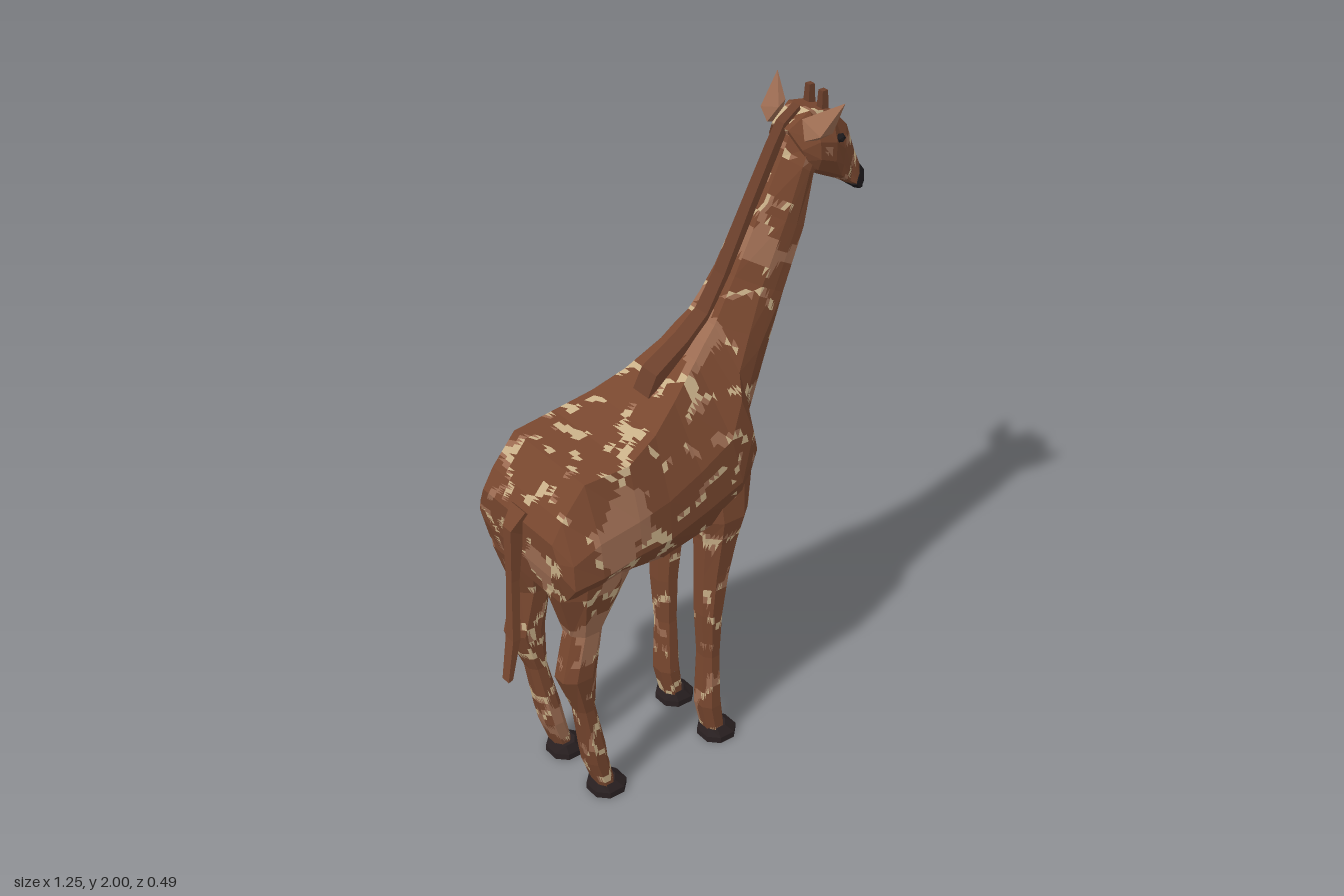
import * as THREE from 'three';
import { ConvexGeometry } from 'three/addons/geometries/ConvexGeometry.js';

const V = (x, y, z) => new THREE.Vector3(x, y, z);
const material = (color) => new THREE.MeshStandardMaterial({ color, flatShading: true });
const coatMaterials = [material(0x78472f), material(0x9c6c52), material(0xc9b088)];
const maneMaterial = material(0x6b3f2b);
const hoofMaterial = material(0x2a2122);
const noseMaterial = material(0x1c191b);

// Triangles of a closed tube through the given rings, capped at both ends
function loft(rings) {
  const tris = [], n = rings[0].length;
  for (let i = 0; i < rings.length - 1; i++) {
    const a = rings[i], b = rings[i + 1];
    for (let j = 0; j < n; j++) {
      const k = (j + 1) % n;
      tris.push([a[j], a[k], b[k]], [a[j], b[k], b[j]]);
    }
  }
  const first = rings[0], last = rings[rings.length - 1];
  for (let j = 1; j < n - 1; j++) {
    tris.push([first[0], first[j + 1], first[j]], [last[0], last[j], last[j + 1]]);
  }
  // Signed volume tells whether the winding has to be turned outwards
  const o = first[0], t = new THREE.Vector3();
  const volume = tris.reduce((sum, [a, b, c]) =>
    sum + a.clone().sub(o).dot(t.crossVectors(b.clone().sub(o), c.clone().sub(o))), 0);
  return volume < 0 ? tris.map(([a, b, c]) => [a, c, b]) : tris;
}

function meshFrom(tris, mat, name) {
  const geometry = new THREE.BufferGeometry().setFromPoints(tris.flat());
  geometry.computeVertexNormals();
  const mesh = new THREE.Mesh(geometry, mat);
  mesh.name = name;
  return mesh;
}

// Patch pattern: pale wedges where three cells of a jittered grid meet
const hash = (x, y, z) => {
  const s = Math.sin(x * 127.1 + y * 311.7 + z * 74.7) * 43758.5453;
  return s - Math.floor(s);
};
function patchShade(p) {
  const size = 0.115, near = [];
  const c = [p.x, p.y, p.z].map((v) => Math.floor(v / size));
  for (let i = -1; i < 2; i++) for (let j = -1; j < 2; j++) for (let k = -1; k < 2; k++) {
    const [x, y, z] = [c[0] + i, c[1] + j, c[2] + k];
    const seed = V(x + hash(x, y, z), y + hash(y, z, x + 9), z + hash(z, x, y + 5));
    near.push([seed.multiplyScalar(size).distanceTo(p), hash(x + 3, y, z)]);
  }
  near.sort((a, b) => a[0] - b[0]);
  if (near[2][0] - near[0][0] < 0.016) return near[0][1] < 0.55 ? 2 : 1;
  return near[0][1] > 0.9 ? 1 : 0;
}

// Cuts each facet into small flat triangles and sorts them by coat shade
function coat(tris, name) {
  const bins = [[], [], []];
  for (const [a, b, c] of tris) {
    const n = Math.max(1, Math.ceil(Math.max(a.distanceTo(b), b.distanceTo(c), c.distanceTo(a)) / 0.03));
    const at = (i, j) => a.clone().addScaledVector(b.clone().sub(a), i / n).addScaledVector(c.clone().sub(a), j / n);
    const add = (...t) => bins[patchShade(V(0, 0, 0).add(t[0]).add(t[1]).add(t[2]).divideScalar(3))].push(t);
    for (let i = 0; i < n; i++) for (let j = 0; j < n - i; j++) {
      add(at(i, j), at(i + 1, j), at(i, j + 1));
      if (i + j < n - 1) add(at(i + 1, j), at(i + 1, j + 1), at(i, j + 1));
    }
  }
  const group = new THREE.Group();
  group.name = name;
  ['Patches', 'Shading', 'Markings'].forEach((suffix, i) => {
    if (bins[i].length) group.add(meshFrom(bins[i], coatMaterials[i], name + suffix));
  });
  return group;
}

// Trunk, neck and head section: upper point, lower point, half widths on top, at the side, below
function section([x0, y0, x1, y1, top, side, low]) {
  const half = [[0, top], [0.42, side * 0.96], [0.7, side], [0.9, (side + low) / 2 + 0.01], [1, low]];
  const right = half.map(([t, w]) => V(x0 + (x1 - x0) * t, y0 + (y1 - y0) * t, w));
  return [...right, ...right.map((p) => V(p.x, p.y, -p.z)).reverse()];
}

// Octagonal leg section: height, x range, z range
function legRing([y, x0, x1, z0, z1], s) {
  const dx = (x1 - x0) * 0.27, dz = (z1 - z0) * 0.27;
  return [[x0 + dx, z0], [x1 - dx, z0], [x1, z0 + dz], [x1, z1 - dz],
    [x1 - dx, z1], [x0 + dx, z1], [x0, z1 - dz], [x0, z0 + dz]].map(([x, z]) => V(x, y, z * s));
}

// Four-sided section in the side plane: rear and front points, half width
const slab = ([x0, y0, x1, y1, w]) => [V(x0, y0, w), V(x1, y1, w), V(x1, y1, -w), V(x0, y0, -w)];

export function createModel() {
  const model = new THREE.Group();
  model.name = 'giraffe';

  // Trunk and neck, from rump to throat
  const trunk = [
    [-0.56, 1.0, -0.555, 0.88, 0.17, 0.2, 0.15],
    [-0.525, 1.06, -0.535, 0.79, 0.17, 0.235, 0.13],
    [-0.45, 1.15, -0.44, 0.77, 0.17, 0.245, 0.12],
    [-0.31, 1.16, -0.31, 0.79, 0.18, 0.237, 0.12],
    [-0.2, 1.2, -0.2, 0.77, 0.15, 0.225, 0.12],
    [-0.11, 1.255, -0.035, 0.785, 0.115, 0.207, 0.11],
    [-0.01, 1.335, 0.11, 0.8, 0.08, 0.192, 0.1],
    [0.03, 1.375, 0.17, 0.98, 0.07, 0.17, 0.115],
    [0.07, 1.41, 0.145, 1.11, 0.06, 0.14, 0.105],
    [0.105, 1.46, 0.22, 1.26, 0.052, 0.115, 0.08],
    [0.15, 1.53, 0.3, 1.45, 0.045, 0.092, 0.07],
    [0.24, 1.7, 0.37, 1.63, 0.04, 0.088, 0.065],
    [0.315, 1.84, 0.4, 1.78, 0.035, 0.085, 0.055],
    [0.35, 1.91, 0.42, 1.79, 0.03, 0.075, 0.05],
  ];
  model.add(coat(loft(trunk.map(section)), 'trunkAndNeck'));

  // Head
  const head = [
    [0.335, 1.91, 0.385, 1.79, 0.035, 0.075, 0.045],
    [0.4, 1.955, 0.405, 1.775, 0.045, 0.098, 0.05],
    [0.475, 1.94, 0.46, 1.745, 0.05, 0.09, 0.04],
    [0.535, 1.88, 0.51, 1.72, 0.045, 0.062, 0.035],
    [0.575, 1.79, 0.55, 1.695, 0.035, 0.05, 0.035],
    [0.6, 1.735, 0.572, 1.685, 0.035, 0.052, 0.038],
  ];
  model.add(coat(loft(head.map(section)), 'head'));

  // Dark nose
  const nose = [
    [0.598, 1.74, 0.57, 1.683, 0.036, 0.055, 0.04],
    [0.617, 1.715, 0.582, 1.67, 0.035, 0.055, 0.038],
    [0.622, 1.69, 0.605, 1.667, 0.025, 0.04, 0.028],
  ];
  model.add(meshFrom(loft(nose.map(section)), noseMaterial, 'nose'));

  // Mane along the back of the neck
  const mane = [
    [-0.14, 1.24, -0.11, 1.23, 0.035], [-0.11, 1.3, -0.08, 1.25, 0.034],
    [0, 1.37, 0.03, 1.33, 0.03], [0.07, 1.43, 0.11, 1.4, 0.027],
    [0.13, 1.53, 0.18, 1.51, 0.024], [0.22, 1.71, 0.27, 1.69, 0.02],
    [0.3, 1.865, 0.35, 1.84, 0.018], [0.335, 1.925, 0.38, 1.89, 0.017],
    [0.39, 1.962, 0.4, 1.92, 0.015],
  ];
  model.add(meshFrom(loft(mane.map(slab)), maneMaterial, 'mane'));

  // Tail
  const tail = [
    [-0.555, 1.03, -0.52, 1.0, 0.035], [-0.595, 0.975, -0.555, 0.95, 0.02],
    [-0.597, 0.8, -0.57, 0.8, 0.014], [-0.605, 0.6, -0.58, 0.6, 0.019],
    [-0.625, 0.46, -0.61, 0.465, 0.016],
  ];
  model.add(meshFrom(loft(tail.map(slab)), coatMaterials[0], 'tail'));

  const frontLeg = [
    [1.0, -0.05, 0.15, 0.06, 0.17], [0.84, -0.03, 0.125, 0.055, 0.19],
    [0.76, -0.02, 0.1, 0.05, 0.178], [0.64, -0.02, 0.075, 0.058, 0.165],
    [0.49, -0.02, 0.055, 0.064, 0.155], [0.33, -0.01, 0.05, 0.068, 0.145],
    [0.14, -0.015, 0.055, 0.06, 0.15], [0.03, 0.01, 0.07, 0.065, 0.145],
  ];
  const hindLeg = [
    [0.95, -0.545, -0.28, 0.08, 0.225], [0.8, -0.54, -0.31, 0.06, 0.208],
    [0.65, -0.495, -0.39, 0.08, 0.178], [0.5, -0.53, -0.415, 0.085, 0.178],
    [0.36, -0.475, -0.415, 0.09, 0.158], [0.2, -0.45, -0.38, 0.075, 0.158],
    [0.14, -0.438, -0.37, 0.07, 0.155], [0.03, -0.4, -0.345, 0.075, 0.15],
  ];
  const hoof = [[0, 0, 0.11, 0.052, 0.163], [0.02, 0, 0.11, 0.052, 0.163], [0.05, 0.01, 0.075, 0.063, 0.148]];

  for (const s of [1, -1]) {
    const side = s > 0 ? 'Left' : 'Right';

    // Legs and hooves
    model.add(coat(loft(frontLeg.map((r) => legRing(r, s))), 'frontLeg' + side));
    model.add(coat(loft(hindLeg.map((r) => legRing(r, s))), 'hindLeg' + side));
    for (const [name, dx] of [['frontHoof', 0], ['hindHoof', -0.415]]) {
      const rings = hoof.map(([y, x0, x1, z0, z1]) => legRing([y, x0 + dx, x1 + dx, z0, z1], s));
      model.add(meshFrom(loft(rings), hoofMaterial, name + side));
    }

    // Leaf-shaped ear
    const ear = new THREE.Mesh(new ConvexGeometry([
      V(0.37, 1.94, 0.05 * s), V(0.4, 1.88, 0.08 * s), V(0.355, 1.89, 0.08 * s),
      V(0.44, 2.0, 0.143 * s), V(0.37, 1.915, 0.128 * s), V(0.41, 1.945, 0.07 * s), V(0.42, 1.91, 0.12 * s),
    ]), coatMaterials[1]);
    ear.name = 'ear' + side;

    // Short horn
    const horn = new THREE.Mesh(new THREE.CylinderGeometry(0.013, 0.02, 0.1, 4, 1).rotateY(Math.PI / 4), maneMaterial);
    horn.name = 'horn' + side;
    horn.position.set(0.46, 1.945, 0.028 * s);

    // Eye
    const eye = new THREE.Mesh(new THREE.IcosahedronGeometry(0.014, 0), noseMaterial);
    eye.name = 'eye' + side;
    eye.position.set(0.485, 1.865, 0.08 * s);
    model.add(ear, horn, eye);
  }
  return model;
}
